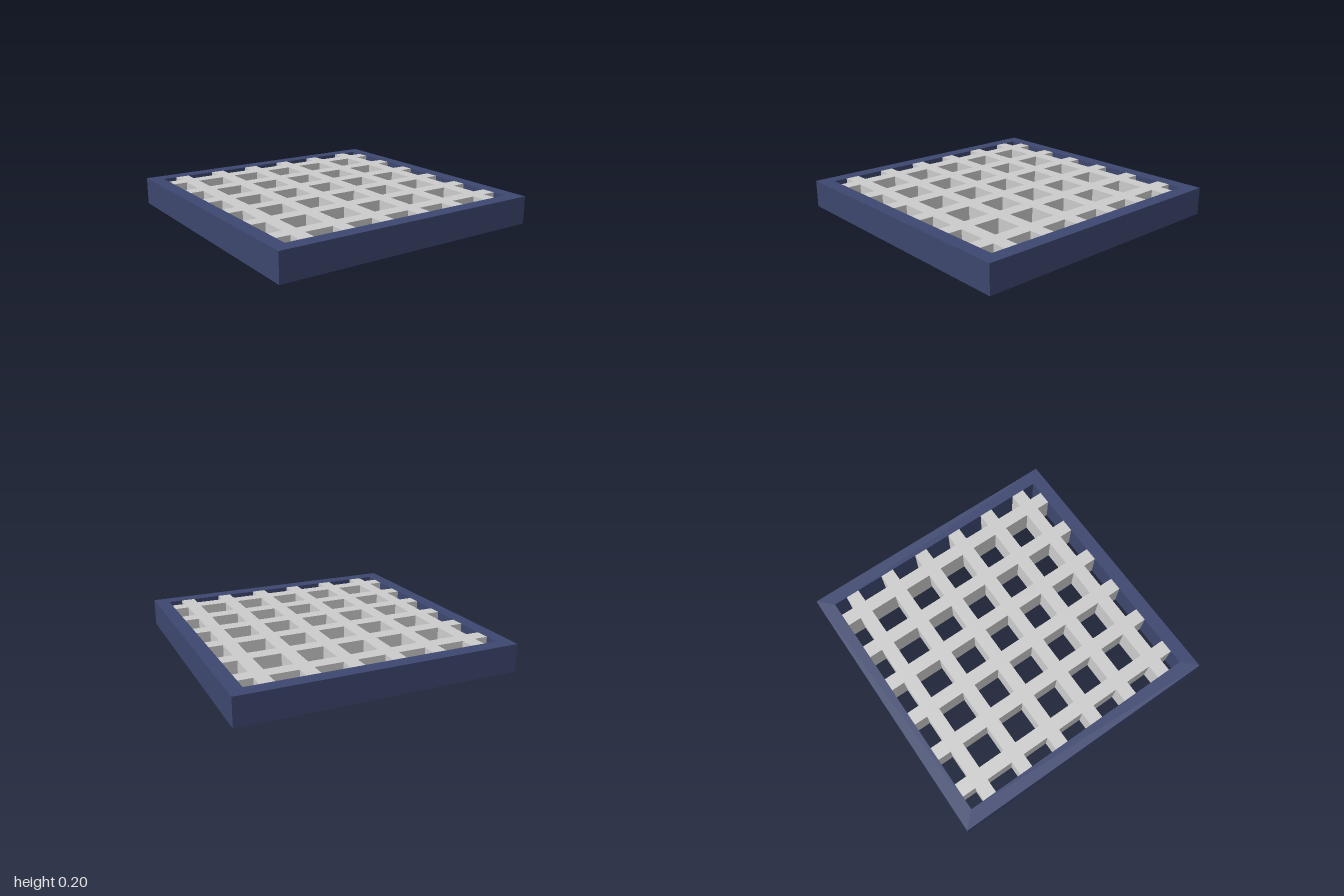
import * as THREE from 'three';

const HEIGHT = 0.2, INNER = 0.9, BAR = 0.1;
const CENTRES = [-0.75, -0.45, -0.15, 0.15, 0.45, 0.75];

function squarePoints(r) {
  return [[-r, -r], [r, -r], [r, r], [-r, r]].map(([x, y]) => new THREE.Vector2(x, y));
}

export function createModel() {
  const model = new THREE.Group();
  model.name = 'gratingPanel';
  const frameMaterial = new THREE.MeshStandardMaterial({ color: 0x3d476f });
  const gridMaterial = new THREE.MeshStandardMaterial({ color: 0xcccccc });

  // Square border with an open middle
  const outline = new THREE.Shape(squarePoints(1));
  outline.holes.push(new THREE.Path(squarePoints(INNER).reverse()));
  const frameGeometry = new THREE.ExtrudeGeometry(outline, { depth: HEIGHT, bevelEnabled: false });
  frameGeometry.rotateX(-Math.PI / 2);
  const frame = new THREE.Mesh(frameGeometry, frameMaterial);
  frame.name = 'frame';
  model.add(frame);

  const grid = new THREE.Group();
  grid.name = 'grid';
  model.add(grid);

  function addBar(name, width, depth, x, z) {
    const bar = new THREE.Mesh(new THREE.BoxGeometry(width, HEIGHT, depth), gridMaterial);
    bar.name = name;
    bar.position.set(x, HEIGHT / 2, z);
    grid.add(bar);
  }

  // Long bars running from side to side
  for (const z of CENTRES) addBar('crossBar', 2 * INNER, BAR, 0, z);

  // Short bars filling the gaps between the long bars and the frame
  const starts = [-INNER, ...CENTRES.map((z) => z + BAR / 2)];
  const ends = [...CENTRES.map((z) => z - BAR / 2), INNER];
  for (const x of CENTRES) {
    starts.forEach((start, i) => {
      addBar('linkBar', BAR, ends[i] - start, x, (start + ends[i]) / 2);
    });
  }

  return model;
}
